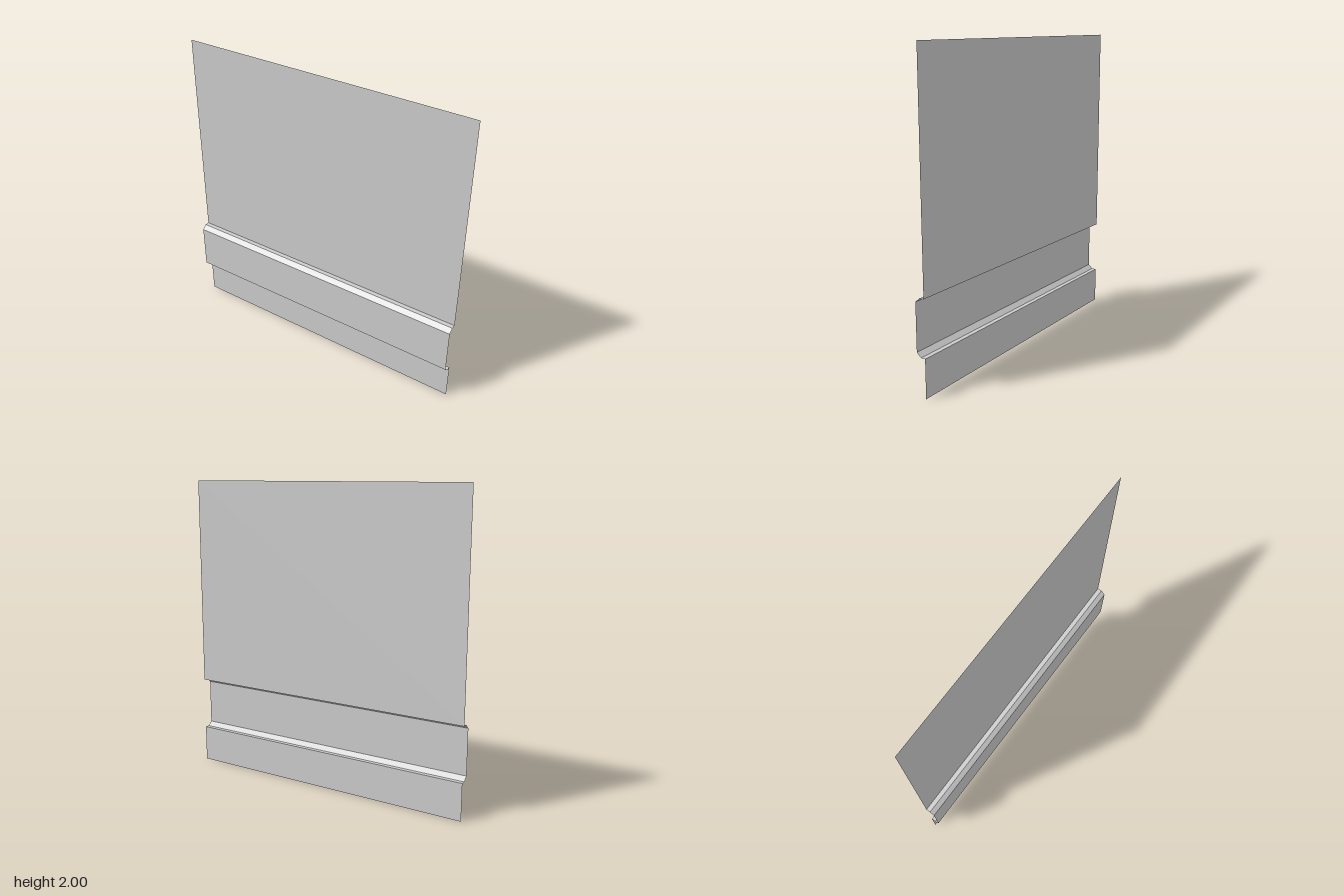
import * as THREE from 'three';

// Side profile of the folded sheet, top to bottom: [y, z]
const PROFILE = [
  [2, -0.03], [0.597, -0.03],   // upper field
  [0.597, 0], [0.57, 0.03],     // ledge and bevel out
  [0.27, 0.03],                 // raised band
  [0.243, 0], [0.243, -0.03],   // bevel and ledge back in
  [0, -0.03],                   // lower field
];

export function createModel() {
  const group = new THREE.Group();
  group.name = 'wallPanel';

  // A plane with one row of vertices per profile point, folded to the profile
  const plane = new THREE.PlaneGeometry(2, 2, 1, PROFILE.length - 1);
  const pos = plane.attributes.position;
  for (let i = 0; i < pos.count; i++) {
    const [y, z] = PROFILE[Math.floor(i / 2)];
    pos.setY(i, y);
    pos.setZ(i, z);
  }
  const geometry = plane.toNonIndexed();
  geometry.computeVertexNormals();

  const material = new THREE.MeshStandardMaterial({
    color: 0xcccccc, flatShading: true, side: THREE.DoubleSide,
  });
  const sheet = new THREE.Mesh(geometry, material);
  sheet.name = 'foldedSheet';
  group.add(sheet);
  return group;
}
